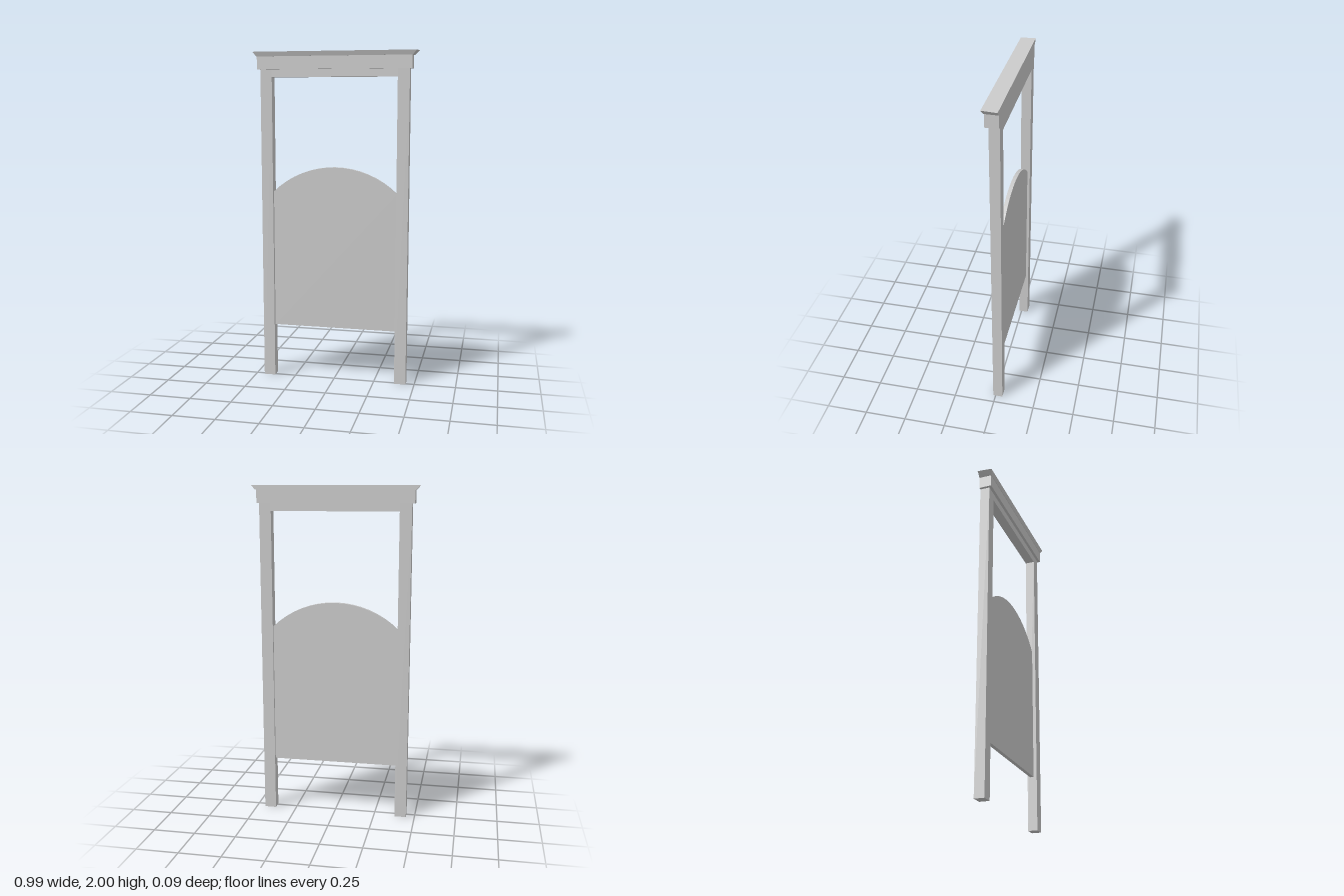
import * as THREE from 'three';
import { ConvexGeometry } from 'three/addons/geometries/ConvexGeometry.js';

const BACK = -0.0435; // shared flush back plane

export function createModel() {
  const group = new THREE.Group();
  const material = new THREE.MeshStandardMaterial({ color: 0xcccccc, flatShading: true });

  const add = (name, geometry) => {
    const mesh = new THREE.Mesh(geometry, material);
    mesh.name = name;
    group.add(mesh);
    return mesh;
  };
  const box = (name, x0, x1, y0, y1, z0, z1) =>
    add(name, new THREE.BoxGeometry(x1 - x0, y1 - y0, z1 - z0))
      .position.set((x0 + x1) / 2, (y0 + y1) / 2, (z0 + z1) / 2);

  // Frame: two posts, a top rail and the header block
  box('leftPost', 0.378, 0.448, 0, 1.898, BACK, 0.015);
  box('rightPost', -0.448, -0.378, 0, 1.898, BACK, 0.015);
  box('topRail', -0.378, 0.378, 1.852, 1.898, BACK, 0.015);
  box('header', -0.464, 0.464, 1.898, 1.973, BACK, 0.032);

  // Crown cap flaring outward at the front and both ends
  const corners = [];
  for (const s of [-1, 1]) {
    corners.push(
      new THREE.Vector3(s * 0.469, 1.973, BACK),
      new THREE.Vector3(s * 0.466, 1.973, 0.034),
      new THREE.Vector3(s * 0.497, 2, BACK),
      new THREE.Vector3(s * 0.489, 2, 0.0435),
    );
  }
  add('crownCap', new ConvexGeometry(corners));

  // Door panel with an arched top edge
  const half = 0.378, bottom = 0.325, spring = 1.165, rise = 0.153;
  const radius = (half * half + rise * rise) / (2 * rise);
  const angle = Math.asin(half / radius);
  const shape = new THREE.Shape();
  shape.moveTo(-half, bottom);
  shape.lineTo(half, bottom);
  shape.lineTo(half, spring);
  shape.absarc(0, spring + rise - radius, radius, Math.PI / 2 - angle, Math.PI / 2 + angle, false);
  shape.closePath();
  const panel = add('archedPanel', new THREE.ExtrudeGeometry(shape, {
    depth: 0.023, bevelEnabled: false, curveSegments: 8,
  }));
  panel.position.z = -0.028;

  return group;
}
